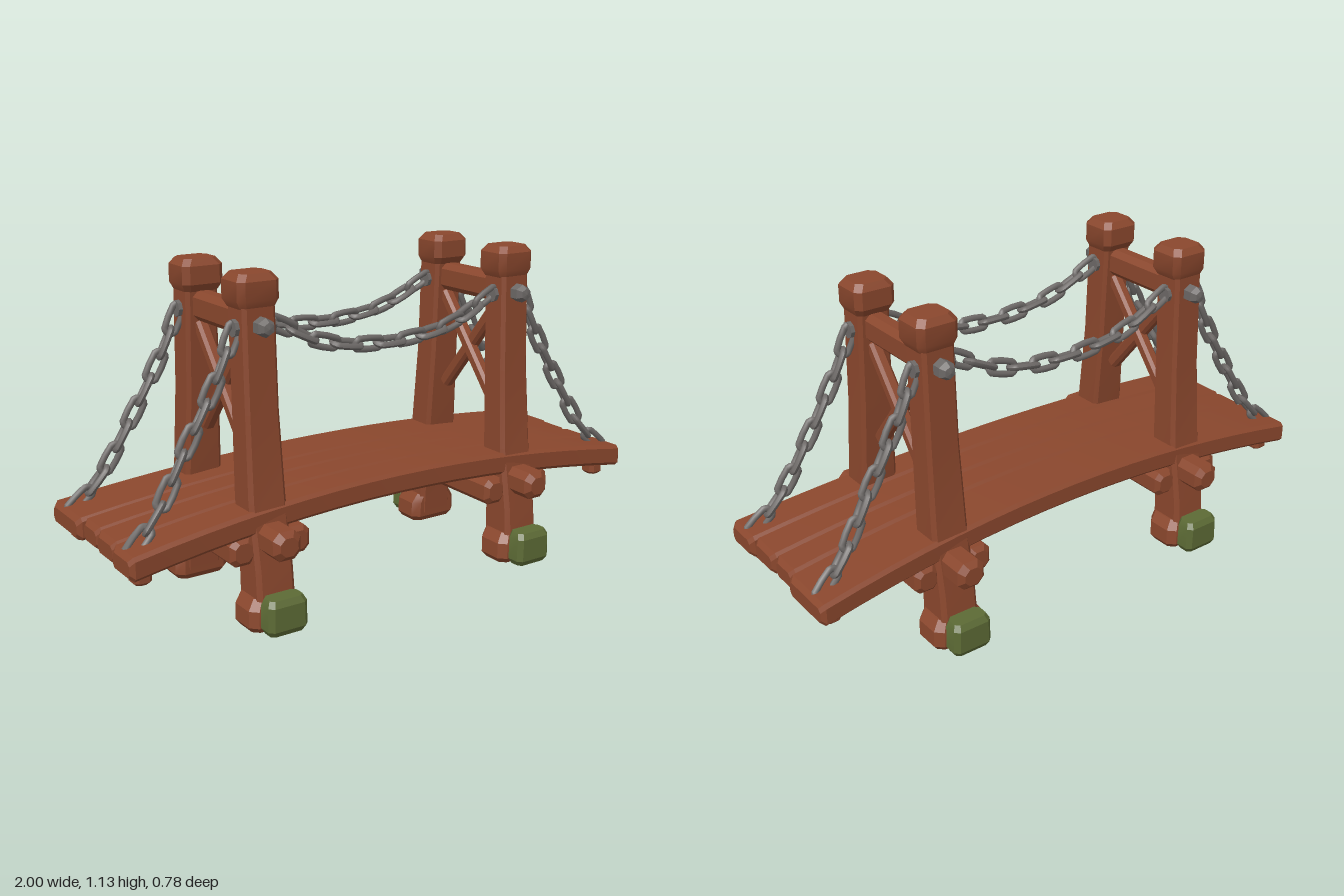
import * as THREE from 'three';
import { toCreasedNormals } from 'three/addons/utils/BufferGeometryUtils.js';

const wood = new THREE.MeshStandardMaterial({ color: 0x8a472d });
wood.name = 'wood';
const iron = new THREE.MeshStandardMaterial({ color: 0x6c6866 });
iron.name = 'iron';
const moss = new THREE.MeshStandardMaterial({ color: 0x5c6a35 });
moss.name = 'moss';

// Lofts chamfered rectangles along an axis. Section: [t, u, v, halfU, halfV, chamfer]
// with (u, v) = (y, z) for x, (z, x) for y and (x, y) for z.
function loft(axis, sections) {
  const place = { x: (t, u, v) => [t, u, v], y: (t, u, v) => [v, t, u], z: (t, u, v) => [u, v, t] }[axis];
  const pos = [], index = [];
  for (const [t, u, v, a, b, c] of sections) {
    const corners = [[a, c - b], [a, b - c], [a - c, b], [c - a, b], [-a, b - c], [-a, c - b], [c - a, -b], [a - c, -b]];
    for (const [du, dv] of corners) pos.push(...place(t, u + du, v + dv));
  }
  const n = sections.length;
  for (let s = 0; s < n - 1; s++) {
    for (let i = 0; i < 8; i++) {
      const p = s * 8 + i, q = s * 8 + (i + 1) % 8;
      index.push(p, q, q + 8, p, q + 8, p + 8);
    }
  }
  const last = (n - 1) * 8;
  for (let i = 1; i < 7; i++) index.push(0, i + 1, i, last, last + i, last + i + 1);
  const geo = new THREE.BufferGeometry();
  geo.setAttribute('position', new THREE.Float32BufferAttribute(pos, 3));
  geo.setIndex(index);
  return toCreasedNormals(geo, 0.5);
}

// Straight beam with worn, bevelled ends
function beam(axis, from, to, u, v, a, b, bevel = 0.015) {
  const tip = t => [t, u, v, a - bevel, b - bevel, bevel];
  const body = t => [t, u, v, a, b, bevel * 1.3];
  return loft(axis, [tip(from), body(from + bevel), body(to - bevel), tip(to)]);
}

function add(parent, name, geo, mat) {
  const mesh = new THREE.Mesh(geo, mat);
  mesh.name = name;
  parent.add(mesh);
  return mesh;
}

// Stadium-shaped chain link lying along x
function linkGeometry() {
  const geo = new THREE.TorusGeometry(0.021, 0.0112, 7, 16);
  const p = geo.attributes.position;
  for (let i = 0; i < p.count; i++) {
    const x = p.getX(i);
    p.setX(i, x + 0.031 * THREE.MathUtils.clamp(x / 0.008, -1, 1));
  }
  geo.computeVertexNormals();
  return geo;
}

function chain(parent, name, points, link) {
  const group = new THREE.Group();
  group.name = name;
  const curve = new THREE.CatmullRomCurve3(points.map(p => new THREE.Vector3(...p)));
  const count = Math.round(curve.getLength() / 0.084);
  for (let i = 0; i < count; i++) {
    const t = (i + 0.5) / count;
    const mesh = add(group, 'chainLink', link, iron);
    mesh.position.copy(curve.getPointAt(t));
    mesh.quaternion.setFromUnitVectors(new THREE.Vector3(1, 0, 0), curve.getTangentAt(t));
    mesh.rotateX((i % 2) * Math.PI / 2 + 0.3);
  }
  parent.add(group);
}

function deck() {
  const group = new THREE.Group();
  group.name = 'deck';
  const edges = [-0.31, -0.09, 0.03, 0.165, 0.31];
  const ends = [1, 0.985, 0.99, 1];
  for (let k = 0; k < 4; k++) {
    const sections = [];
    const section = (x, inset) => {
      const spread = 0.87 + 0.13 * x * x;
      const mid = (edges[k] + edges[k + 1]) / 2 * spread;
      const half = (edges[k + 1] - edges[k]) / 2 * spread;
      sections.push([x, 0.381 - 0.072 * x * x, mid, 0.039 - inset, half + 0.001 - inset, 0.012]);
    };
    const end = ends[k];
    section(-end, 0.014);
    for (let i = 0; i <= 16; i++) section((i / 8 - 1) * (end - 0.015), 0);
    section(end, 0.014);
    add(group, 'deckPlank', loft('x', sections), wood);
  }
  return group;
}

function tower() {
  const group = new THREE.Group();
  group.name = 'tower';
  for (const s of [1, -1]) {
    // Post leaning inward, with a thick head and a mossy foot
    add(group, 'post', loft('y', [
      [0.04, 0.255 * s, 0, 0.068, 0.07, 0.015],
      [0.2, 0.245 * s, 0, 0.064, 0.068, 0.014],
      [0.42, 0.215 * s, 0, 0.056, 0.067, 0.013],
      [0.7, 0.197 * s, 0, 0.053, 0.06, 0.012],
      [1.05, 0.185 * s, 0, 0.054, 0.058, 0.012],
    ]), wood);
    add(group, 'postHead', loft('y', [
      [1.025, 0.183 * s, 0, 0.055, 0.06, 0.015],
      [1.05, 0.18 * s, 0, 0.068, 0.073, 0.02],
      [1.11, 0.18 * s, 0, 0.068, 0.073, 0.02],
      [1.132, 0.18 * s, 0, 0.052, 0.057, 0.02],
    ]), wood);
    add(group, 'foot', loft('y', [
      [0.005, 0.258 * s, 0, 0.055, 0.085, 0.02],
      [0.025, 0.258 * s, 0, 0.068, 0.1, 0.025],
      [0.08, 0.256 * s, 0, 0.068, 0.098, 0.025],
      [0.115, 0.25 * s, 0, 0.06, 0.075, 0.02],
    ]), wood);
    add(group, 'mossBlock', loft('y', [
      [0.01, 0.35 * s, 0, 0.028, 0.06, 0.012],
      [0.03, 0.352 * s, 0, 0.038, 0.072, 0.016],
      [0.11, 0.352 * s, 0, 0.038, 0.07, 0.016],
      [0.13, 0.348 * s, 0, 0.03, 0.06, 0.014],
    ]), moss);

    // Bolt on the outer face
    const bolt = add(group, 'bolt', toCreasedNormals(new THREE.LatheGeometry(
      [[0, -0.04], [0.031, -0.04], [0.031, 0.015], [0.02, 0.035], [0, 0.04]].map(p => new THREE.Vector2(...p)), 6), 0.4), iron);
    bolt.rotation.x = s * Math.PI / 2;
    bolt.position.set(0, 0.972, 0.258 * s);

    // Pin holding the chains on both sides of the post
    const pin = add(group, 'chainPin', toCreasedNormals(new THREE.CylinderGeometry(0.028, 0.028, 0.145, 8), 0.5), iron);
    pin.rotation.z = Math.PI / 2;
    pin.position.set(0, 0.965, 0.19 * s);

    // Crossed brace between the posts
    const brace = add(group, 'brace', beam('y', -0.23, 0.23, 0, 0, 0.023, 0.022, 0.008), wood);
    brace.rotation.x = s * Math.atan2(0.29, 0.35);
    brace.position.set(0.006 * s, 0.745, 0);

    // Beams clasping the posts below the deck
    add(group, 'supportBeam', beam('z', -0.285, 0.285, 0.1 * s, 0.272, 0.045, 0.046), wood);
  }
  add(group, 'topBeam', beam('z', -0.17, 0.17, 0, 0.978, 0.037, 0.049), wood);
  add(group, 'lowerTie', beam('z', -0.23, 0.23, 0, 0.198, 0.04, 0.028), wood);
  const log = beam('z', -0.392, 0.392, 0, 0.305, 0.05, 0.048, 0.018);
  add(group, 'crossLog', log, wood);
  return group;
}

export function createModel() {
  const model = new THREE.Group();
  model.name = 'chainBridge';
  model.add(deck());
  const link = linkGeometry();
  for (const side of [1, -1]) {
    const t = tower();
    t.position.x = 0.51 * side;
    model.add(t);
    for (const s of [1, -1]) {
      // Chain from the post down to the deck end
      chain(model, 'endChain', [
        [0.57 * side, 0.97, 0.19 * s], [0.645 * side, 0.81, 0.195 * s], [0.765 * side, 0.6, 0.2 * s],
        [0.87 * side, 0.43, 0.215 * s], [0.965 * side, 0.335, 0.23 * s],
      ], link);
      add(model, 'deckPeg', beam('y', 0.232, 0.31, 0.225 * s, 0.935 * side, 0.032, 0.03, 0.01), wood);
    }
  }
  // Sagging chains between the towers
  for (const s of [1, -1]) {
    chain(model, 'middleChain', [
      [-0.45, 0.975, 0.19 * s], [-0.25, 0.885, 0.2 * s], [0, 0.855, 0.2 * s],
      [0.25, 0.885, 0.2 * s], [0.45, 0.975, 0.19 * s],
    ], link);
  }
  return model;
}
